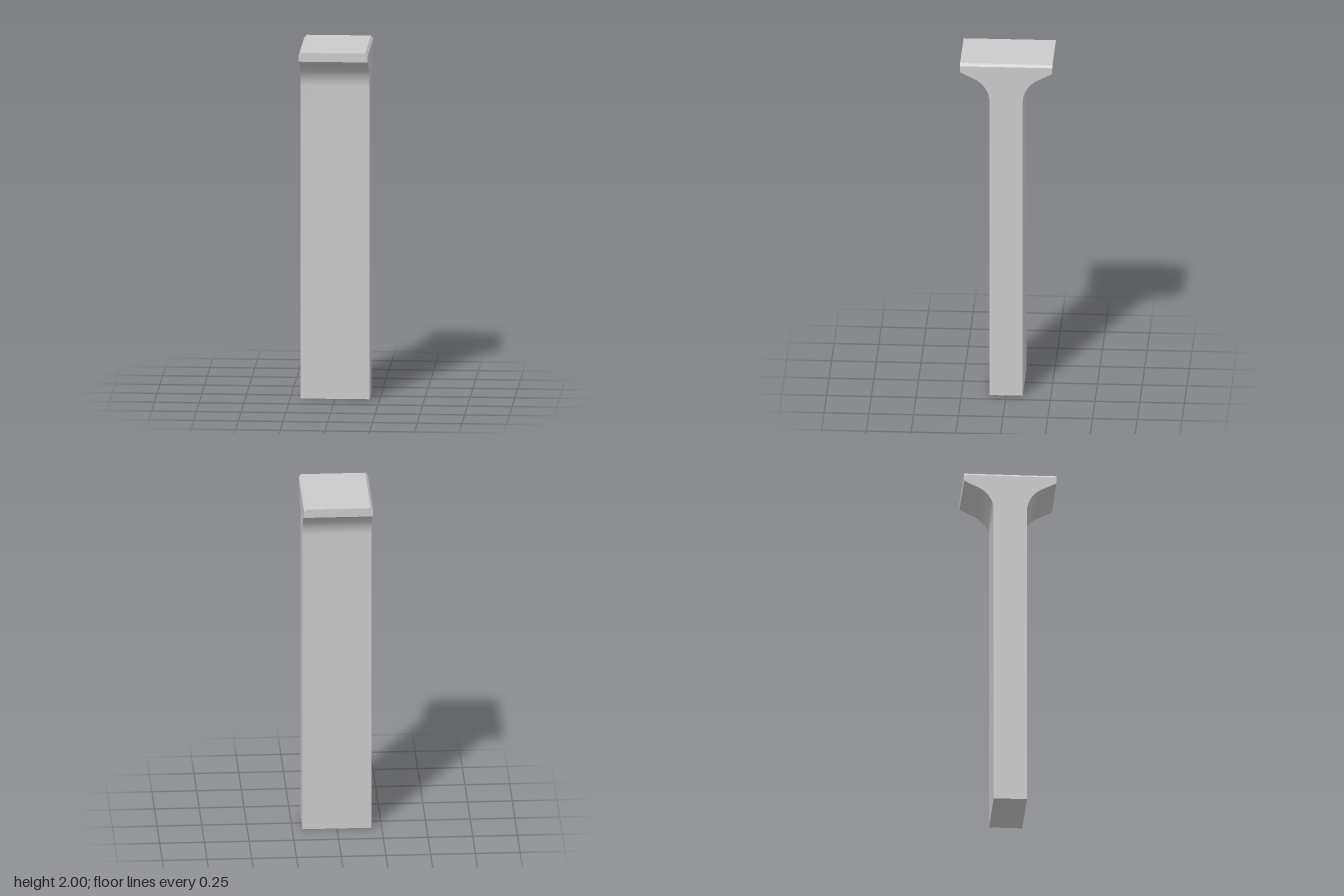
import * as THREE from 'three';
import { toCreasedNormals } from 'three/addons/utils/BufferGeometryUtils.js';

const HALF_WIDTH = 0.193, CHAMFER = 0.014;

// Rectangular cross-sections from bottom to top: [y, half width x, half depth z]
function postSections() {
  const shaft = 0.093, radius = 0.15, startY = 1.775, sweep = THREE.MathUtils.degToRad(63), steps = 16;
  const rows = [[0, HALF_WIDTH, shaft]];
  // Curved flare under the head
  for (let i = 0; i <= steps; i++) {
    const a = (sweep * i) / steps;
    rows.push([startY + radius * Math.sin(a), HALF_WIDTH, shaft + radius * (1 - Math.cos(a))]);
  }
  // Sloped underside, head edge and chamfered top
  rows.push([1.95, HALF_WIDTH, 0.258], [2 - CHAMFER, HALF_WIDTH, 0.258], [2, HALF_WIDTH - CHAMFER, 0.258]);
  return rows;
}

// Skin the sections with four sides and close both ends
function loftRectangles(rows) {
  const positions = [], index = [];
  for (const [y, x, z] of rows) positions.push(x, y, z, x, y, -z, -x, y, -z, -x, y, z);
  for (let r = 0; r < rows.length - 1; r++) {
    for (let k = 0; k < 4; k++) {
      const a = r * 4 + k, b = r * 4 + ((k + 1) % 4);
      index.push(a, b, b + 4, a, b + 4, a + 4);
    }
  }
  const t = (rows.length - 1) * 4;
  index.push(0, 2, 1, 0, 3, 2, t, t + 1, t + 2, t, t + 2, t + 3);
  const geometry = new THREE.BufferGeometry();
  geometry.setAttribute('position', new THREE.Float32BufferAttribute(positions, 3));
  geometry.setIndex(index);
  return toCreasedNormals(geometry, 0.4);
}

export function createModel() {
  const model = new THREE.Group();
  model.name = 'flaredPost';
  const post = new THREE.Mesh(
    loftRectangles(postSections()),
    new THREE.MeshStandardMaterial({ color: 0xcccccc })
  );
  post.name = 'postWithFlaredHead';
  model.add(post);
  return model;
}
